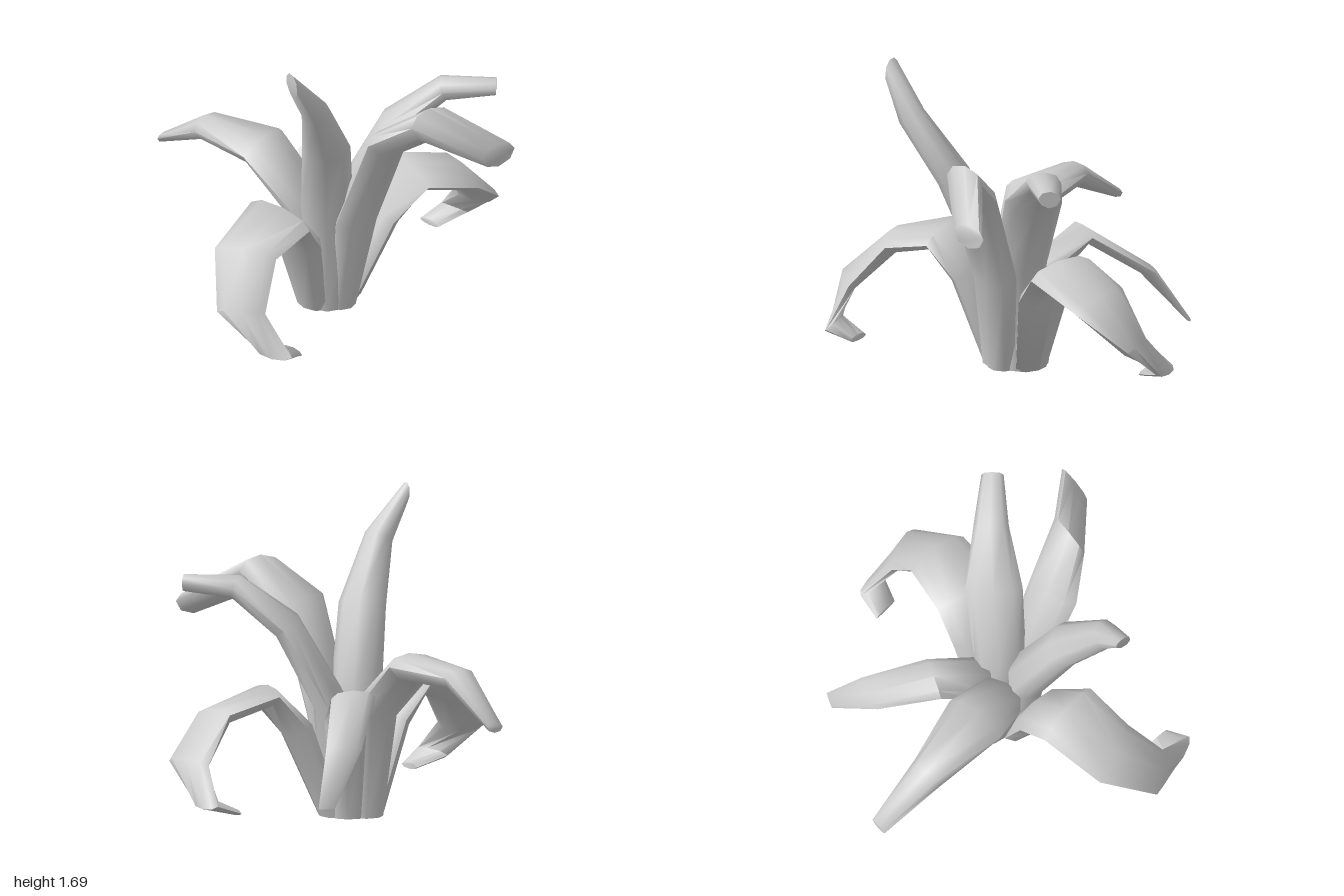
import * as THREE from 'three';
import { toCreasedNormals } from 'three/addons/utils/BufferGeometryUtils.js';

const UP = new THREE.Vector3(0, 1, 0);
const SIDES = 8;

// Loft a leaf through rings [x, y, z, halfWidth, halfThickness, optional side angle].
// heading is the horizontal direction [x, z] in which the leaf leans.
function leafGeometry(heading, rings) {
  const centers = rings.map(r => new THREE.Vector3(r[0], r[1], r[2]));
  const side = new THREE.Vector3(heading[1], 0, -heading[0]).normalize();
  const pos = [], index = [];
  const last = rings.length - 1;
  const dir = i => centers[i + 1].clone().sub(centers[i]).normalize();

  rings.forEach(([, , , w, t, angle], i) => {
    // the foot is cut level, the tip is cut upright
    const tangent = i === 0 ? UP.clone()
      : i === last ? dir(last - 1).setY(0).normalize()
      : dir(i - 1).add(dir(i)).normalize();
    if (angle !== undefined) side.set(Math.cos(angle), 0, Math.sin(angle));
    else side.addScaledVector(tangent, -side.dot(tangent)).normalize();
    const normal = tangent.clone().cross(side).normalize();
    for (let j = 0; j < SIDES; j++) {
      const a = (j / SIDES) * Math.PI * 2;
      // the upper face is flatter than the rounded underside
      const h = Math.sin(a) * (Math.sin(a) > 0 ? 0.8 : 1.1);
      const p = centers[i].clone()
        .addScaledVector(side, Math.cos(a) * w)
        .addScaledVector(normal, h * t);
      pos.push(p.x, p.y, p.z);
    }
  });

  // skin
  for (let i = 0; i < last; i++) {
    for (let j = 0; j < SIDES; j++) {
      const a = i * SIDES + j, b = i * SIDES + (j + 1) % SIDES;
      index.push(a, b, b + SIDES, a, b + SIDES, a + SIDES);
    }
  }
  // end caps
  const e = last * SIDES;
  for (let j = 1; j < SIDES - 1; j++) {
    index.push(0, j + 1, j, e, e + j, e + j + 1);
  }
  const g = new THREE.BufferGeometry();
  g.setAttribute('position', new THREE.Float32BufferAttribute(pos, 3));
  g.setIndex(index);
  return toCreasedNormals(g, 1.2);
}

export function createModel() {
  const plant = new THREE.Group();
  plant.name = 'leafyPlant';
  const material = new THREE.MeshStandardMaterial({ color: 0xcccccc });
  const addLeaf = (name, heading, rings) => {
    const mesh = new THREE.Mesh(leafGeometry(heading, rings), material);
    mesh.name = name;
    plant.add(mesh);
  };

  // Drooping leaves with a curled tip
  addLeaf('frontCurledLeaf', [0.1, 1], [
    [0.12, 0, 0.14, 0.1, 0.065],
    [0.17, 0.48, 0.28, 0.17, 0.08],
    [0.22, 0.67, 0.44, 0.2, 0.065],
    [0.3, 0.575, 0.74, 0.18, 0.06],
    [0.48, 0.35, 0.91, 0.13, 0.055, -0.8],
    [0.67, 0.16, 0.835, 0.11, 0.045, -0.4],
    [0.64, 0.11, 0.68, 0.07, 0.02, -0.1],
  ]);
  addLeaf('backCurledLeaf', [0.1, -1], [
    [0.11, 0, -0.09, 0.1, 0.065],
    [0.18, 0.48, -0.26, 0.17, 0.08],
    [0.23, 0.67, -0.43, 0.2, 0.065],
    [0.25, 0.575, -0.74, 0.18, 0.06],
    [0.17, 0.35, -0.935, 0.13, 0.055, 2.7],
    [-0.04, 0.16, -0.945, 0.09, 0.045, 2.9],
    [-0.06, 0.11, -0.79, 0.07, 0.02, 3.0],
  ]);

  // Arching leaves on the right side
  addLeaf('rightArchingLeaf', [-1, 0.3], [
    [0.0, 0, 0.06, 0.09, 0.08],
    [0.01, 0.58, 0.11, 0.14, 0.11],
    [-0.23, 0.845, 0.21, 0.17, 0.085],
    [-0.61, 0.83, 0.29, 0.1, 0.07],
    [-0.96, 0.62, 0.31, 0.05, 0.03],
  ]);
  addLeaf('backRightDroopingLeaf', [-0.85, -0.5], [
    [0.02, 0, -0.04, 0.09, 0.07],
    [0.0, 0.52, -0.06, 0.12, 0.1],
    [-0.23, 0.7, -0.15, 0.12, 0.05, 1.9],
    [-0.5, 0.475, -0.36, 0.1, 0.035, 1.8],
    [-0.635, 0.2, -0.54, 0.045, 0.015, 1.9],
  ]);

  // Tall leaves on the left side
  addLeaf('leftArchingLeaf', [1, -0.1], [
    [0.21, 0, 0.02, 0.08, 0.07],
    [0.29, 0.55, -0.01, 0.14, 0.09],
    [0.51, 1.09, -0.05, 0.155, 0.085],
    [0.72, 1.25, -0.19, 0.13, 0.1, -1.57],
    [0.965, 1.07, -0.46, 0.11, 0.07, -1.57],
  ]);
  addLeaf('backLeftTallLeaf', [0.6, -0.7], [
    [0.15, 0, -0.05, 0.08, 0.07],
    [0.15, 0.6, -0.06, 0.14, 0.1],
    [0.27, 1.03, -0.27, 0.155, 0.08],
    [0.43, 1.24, -0.5, 0.095, 0.07],
    [0.61, 1.25, -0.72, 0.06, 0.05],
  ]);
  addLeaf('frontLeftTallestLeaf', [0.6, 0.5], [
    [0.18, 0, 0.09, 0.08, 0.07],
    [0.19, 0.6, 0.1, 0.14, 0.11],
    [0.35, 1.08, 0.23, 0.13, 0.1],
    [0.49, 1.41, 0.41, 0.08, 0.08],
    [0.49, 1.635, 0.575, 0.045, 0.075],
  ]);

  return plant;
}
